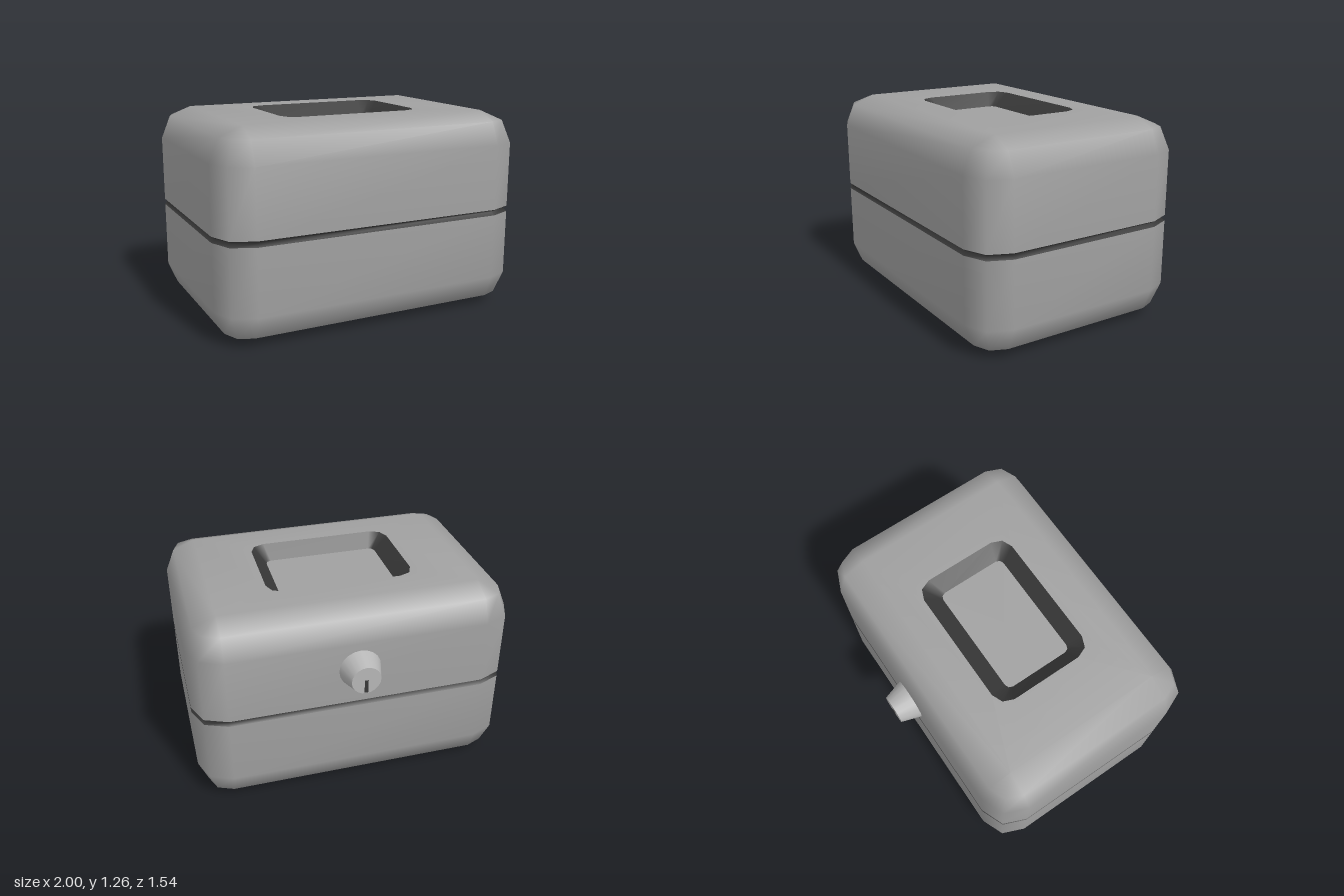
import * as THREE from 'three';
import { mergeVertices } from 'three/addons/utils/BufferGeometryUtils.js';

const STEPS = 2; // segments per rounded corner
const HX = 1, HZ = 0.705, CZ = 0.063, R = 0.2, H = 1.262;

// Rounded rectangle at height y, counter-clockwise from above
function loop(hx, hz, r, y, cz = CZ) {
  const pts = [];
  [[1, -1], [-1, -1], [-1, 1], [1, 1]].forEach(([sx, sz], k) => {
    for (let i = 0; i <= STEPS; i++) {
      const a = (k + i / STEPS) * Math.PI / 2;
      pts.push([sx * (hx - r) + r * Math.cos(a), y, cz + sz * (hz - r) - r * Math.sin(a)]);
    }
  });
  return pts;
}

// Skin a list of loops; the visible side faces outward when going up
function loft(loops) {
  const n = loops[0].length, index = [];
  for (let i = 0; i < loops.length - 1; i++) {
    for (let j = 0; j < n; j++) {
      const a = i * n + j, b = i * n + (j + 1) % n;
      index.push(a, b, b + n, a, b + n, a + n);
    }
  }
  let g = new THREE.BufferGeometry();
  g.setAttribute('position', new THREE.Float32BufferAttribute(loops.flat(2), 3));
  g.setIndex(index);
  g = mergeVertices(g, 1e-4);
  g.computeVertexNormals();
  return g;
}

// Body outline shrunk along a quarter circle: t = 0 on the side, 1 on the flat
function edgeLoop(t, top) {
  const a = t * Math.PI / 2, inset = R * (1 - Math.cos(a));
  const rise = R * (1 - Math.sin(a));
  return loop(HX - inset, HZ - inset, R * Math.cos(a), top ? H - rise : rise);
}

export function createModel() {
  const group = new THREE.Group();
  const grey = new THREE.MeshStandardMaterial({ color: 0xa0a0a0 });
  grey.name = 'bodyGrey';
  const dark = new THREE.MeshStandardMaterial({ color: 0x383838 });
  dark.name = 'darkGrey';
  const light = new THREE.MeshStandardMaterial({ color: 0xb6b6b6 });
  light.name = 'knobGrey';

  const add = (name, geometry, material) => {
    const mesh = new THREE.Mesh(geometry, material);
    mesh.name = name;
    group.add(mesh);
    return mesh;
  };

  // Seam and recess outlines
  const seamLow = loop(HX, HZ, R, 0.614), seamHigh = loop(HX, HZ, R, 0.65);
  const seamDeep = loop(HX - 0.025, HZ - 0.025, R - 0.025, 0.632);
  const rim = loop(0.46, 0.325, 0.095, H, 0.055);
  const floorEdge = loop(0.37, 0.226, 0.035, H - 0.085, 0.07);

  // Lower and upper shells with rounded edges
  add('lowerShell', loft([
    loop(0, 0, 0, 0), edgeLoop(1, false), edgeLoop(0.5, false), edgeLoop(0, false), seamLow,
  ]), grey);
  add('upperShell', loft([
    seamHigh, edgeLoop(0, true), edgeLoop(0.5, true), edgeLoop(1, true), rim,
  ]), grey);

  // Dark V-shaped groove between the shells
  add('seamGroove', loft([seamLow, seamDeep, seamHigh]), dark);

  // Sunken tray in the top
  add('recessWalls', loft([rim, floorEdge]), dark);
  add('recessFloor', loft([floorEdge, loop(0, 0, 0, H - 0.085, 0.07)]), grey);

  // Tapered knob on the back
  const knob = add('knob', new THREE.CylinderGeometry(0.09, 0.132, 0.135, 20), light);
  knob.rotation.x = -Math.PI / 2;
  knob.position.set(0, 0.885, -0.7);

  // Pointer mark from the middle of the knob downwards
  const mark = add('knobMark', new THREE.BoxGeometry(0.022, 0.085, 0.006), dark);
  mark.position.set(0, 0.845, -0.768);

  return group;
}
